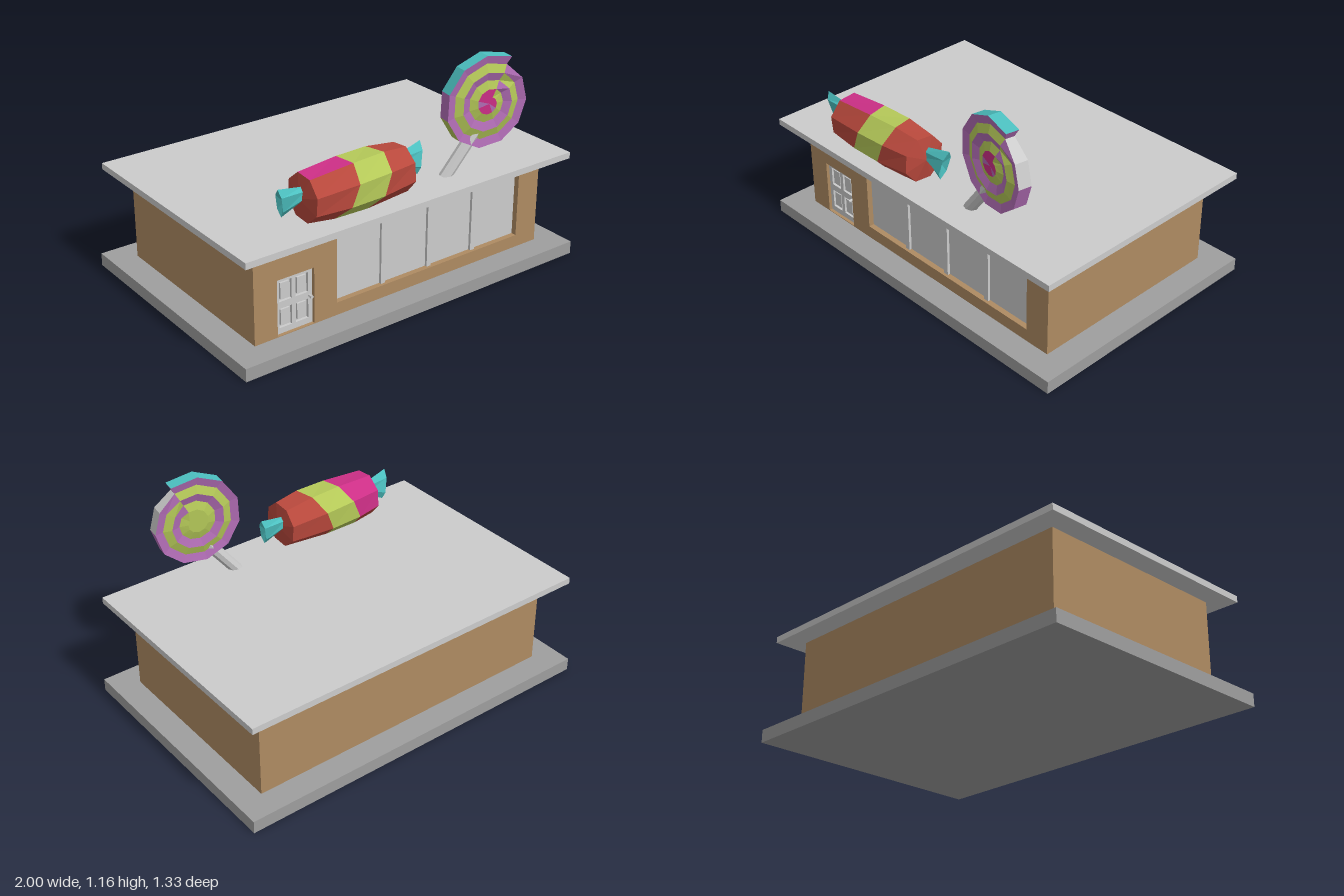
import * as THREE from 'three';

const GREY = 0xcccccc, STONE = 0x9e9e9e, BROWN = 0xae8b62;
const RED = 0xb8483c, GREEN = 0xb4c858, MAGENTA = 0xcc2f86, PURPLE = 0xb06cb4, TEAL = 0x4cc0c0;
const mat = (color, side = THREE.FrontSide) => new THREE.MeshStandardMaterial({ color, flatShading: true, side });

function add(parent, name, geometry, color = GREY) {
  const mesh = new THREE.Mesh(geometry, mat(color));
  mesh.name = name;
  parent.add(mesh);
  return mesh;
}

// box given by its minimum and maximum corners
function block(parent, name, [x0, y0, z0], [x1, y1, z1], color) {
  const m = add(parent, name, new THREE.BoxGeometry(x1 - x0, y1 - y0, z1 - z0), color);
  m.position.set((x0 + x1) / 2, (y0 + y1) / 2, (z0 + z1) / 2);
  return m;
}

function rect(Type, x0, y0, x1, y1) {
  const p = new Type();
  p.moveTo(x0, y0);
  p.lineTo(x1, y0);
  p.lineTo(x1, y1);
  p.lineTo(x0, y1);
  p.closePath();
  return p;
}

// slab in the xy plane with rectangular openings, from z0 to z1
function pierced(parent, name, outer, holes, z0, z1, color) {
  const shape = rect(THREE.Shape, ...outer);
  holes.forEach(h => shape.holes.push(rect(THREE.Path, ...h)));
  const g = new THREE.ExtrudeGeometry(shape, { depth: z1 - z0, bevelEnabled: false });
  return add(parent, name, g.translate(0, 0, z0), color);
}

// gathers facets by colour and turns each colour into one mesh
function facets() {
  const sets = new Map();
  const tri = (color, ...pts) => {
    if (!sets.has(color)) sets.set(color, []);
    pts.forEach(p => sets.get(color).push(...p));
  };
  const quad = (color, a, b, c, d) => { tri(color, a, b, c); tri(color, a, c, d); };
  const build = name => {
    const group = new THREE.Group();
    group.name = name;
    for (const [color, pos] of sets) {
      const g = new THREE.BufferGeometry();
      g.setAttribute('position', new THREE.Float32BufferAttribute(pos, 3));
      g.computeVertexNormals();
      const mesh = new THREE.Mesh(g, mat(color, THREE.DoubleSide));
      mesh.name = name + 'Facets';
      group.add(mesh);
    }
    return group;
  };
  return { tri, quad, build };
}

// wrapped sweet: octagonal body along x with a flared wrapper at each end
function makeCandy() {
  const f = facets(), N = 8;
  const rings = [[-0.28, 0.119, 0], [-0.10, 0.136, 0.06], [0.08, 0.138, 0.06], [0.28, 0.119, 0]];
  const pts = rings.map(([x, r, shear], k) => Array.from({ length: N }, (_, i) => {
    const a = (i + 0.5) / N * Math.PI * 2 + (k - 1.5) * 0.06;
    // angle 0 faces the front, a quarter turn faces up
    return [x + shear * Math.sin(a + 0.5), r * Math.sin(a), r * Math.cos(a)];
  }));
  for (let i = 0; i < N; i++) {
    const j = (i + 1) % N;
    const left = i >= 1 && i <= 3 ? MAGENTA : RED;
    [left, GREEN, RED].forEach((c, k) =>
      f.quad(c, pts[k][i], pts[k][j], pts[k + 1][j], pts[k + 1][i]));
    f.tri(RED, pts[0][j], pts[0][i], [-0.3, 0, 0]);
    f.tri(RED, pts[3][i], pts[3][j], [0.3, 0, 0]);
  }
  const candy = f.build('candyBody');

  // pinched neck opening into a flat, slanted, pleated fan
  for (const s of [-1, 1]) {
    const w = facets(), P = 6;
    const loop = (x, y, ry, rz, slant) => Array.from({ length: P }, (_, i) => {
      const a = i / P * Math.PI * 2 + Math.PI / 2;
      return [s * (x + slant * Math.sin(a)), y + ry * Math.sin(a),
        rz * Math.cos(a) - s * slant * Math.sin(a) * 0.8 - (s > 0 ? 0.02 : 0)];
    });
    const neck = loop(0.28, 0.02, 0.035, 0.022, 0);
    const end = loop(0.405, 0.007, 0.078, 0.028, 0.018);
    for (let i = 0; i < P; i++) {
      const j = (i + 1) % P, q = [neck[i], neck[j], end[j], end[i]];
      w.quad(TEAL, ...(s > 0 ? q : q.reverse()));
      const tip = [s * 0.38, 0.007, s > 0 ? -0.02 : 0];
      w.tri(TEAL, ...(s > 0 ? [end[i], end[j], tip] : [end[j], end[i], tip]));
    }
    candy.add(w.build(s > 0 ? 'leftWrapper' : 'rightWrapper'));
  }
  return candy;
}

// lollipop head: faceted spiral disc, each turn joining the next one inward
function makeLollipopHead() {
  const f = facets(), N = 11, start = 1.08, pitch = 0.043;
  const relief = [0.034, 0.024, 0.038, 0.024, 0.036, 0.036];
  const node = (k, i, side) => {
    const a = start + i / N * Math.PI * 2, r = 0.25 - pitch * (k + i / N);
    return [r * Math.cos(a), r * Math.sin(a), side * relief[i === N ? k + 1 : k]];
  };
  const bands = [PURPLE, GREEN, PURPLE, GREEN];
  for (let i = 0; i < N; i++) {
    for (const side of [1, -1]) {
      const turn = list => (side > 0 ? list : list.reverse());
      bands.forEach((c, k) => f.quad(c, ...turn([
        node(k, i, side), node(k, i + 1, side), node(k + 1, i + 1, side), node(k + 1, i, side)])));
      const core = side < 0 ? GREEN : i % 4 === 3 ? PURPLE : MAGENTA;
      f.tri(core, ...turn([node(4, i, side), node(4, i + 1, side), [0, 0, side * 0.036]]));
    }
    // rim
    const c = i < 3 ? TEAL : i === 4 ? GREEN : i >= N - 2 ? GREY : PURPLE;
    f.quad(c, node(0, i, 1), node(0, i, -1), node(0, i + 1, -1), node(0, i + 1, 1));
  }
  // step where the outer turn starts
  f.quad(PURPLE, node(0, 0, 1), node(0, N, 1), node(0, N, -1), node(0, 0, -1));
  return f.build('lollipopHead');
}

export function createModel() {
  const model = new THREE.Group();
  model.name = 'candyShop';

  // building shell
  const front = 0.535, inner = 0.5;
  block(model, 'base', [-1, 0, -0.667], [1, 0.067, 0.667], STONE);
  block(model, 'walls', [-0.865, 0.067, -front], [0.865, 0.537, inner], BROWN);
  block(model, 'roof', [-0.97, 0.537, -0.643], [0.97, 0.57, 0.643]);
  const doorway = [-0.74, 0.07, -0.535, 0.36], opening = [-0.405, 0.133, 0.73, 0.47];
  pierced(model, 'frontWall', [-0.865, 0.067, 0.865, 0.537], [doorway, opening], inner, front, BROWN);

  // shop window
  block(model, 'windowPane', [-0.405, 0.133, inner], [0.73, 0.47, inner + 0.006]);
  for (const x of [-0.121, 0.163, 0.446])
    block(model, 'windowMullion', [x - 0.013, 0.133, inner], [x + 0.013, 0.47, inner + 0.02]);

  // door with four raised panels in sunken frames
  const panels = [];
  for (const x of [-0.718, -0.627])
    for (const [y0, y1] of [[0.1, 0.2], [0.235, 0.337]]) panels.push([x, y0, x + 0.069, y1]);
  block(model, 'doorBack', [-0.74, 0.07, inner], [-0.535, 0.36, inner + 0.004]);
  pierced(model, 'doorFrame', doorway, panels, inner, inner + 0.018);
  for (const [x0, y0, x1, y1] of panels)
    block(model, 'doorPanel', [x0 + 0.01, y0 + 0.01, inner], [x1 - 0.01, y1 - 0.01, inner + 0.014]);
  const knob = add(model, 'doorKnob', new THREE.CylinderGeometry(0.008, 0.006, 0.03, 8).rotateX(Math.PI / 2));
  knob.position.set(-0.554, 0.217, 0.53);

  // rooftop candy
  const candy = makeCandy();
  candy.position.set(-0.285, 0.703, 0.493);
  model.add(candy);

  // rooftop lollipop
  const head = makeLollipopHead();
  head.position.set(0.505, 0.91, 0.503);
  head.rotation.y = -0.165;
  model.add(head);
  const from = new THREE.Vector3(0.285, 0.555, 0.473), to = new THREE.Vector3(0.46, 0.78, 0.497);
  const stick = add(model, 'lollipopStick', new THREE.CylinderGeometry(0.031, 0.031, from.distanceTo(to), 8));
  stick.position.lerpVectors(from, to, 0.5);
  stick.quaternion.setFromUnitVectors(new THREE.Vector3(0, 1, 0), to.clone().sub(from).normalize());

  return model;
}
